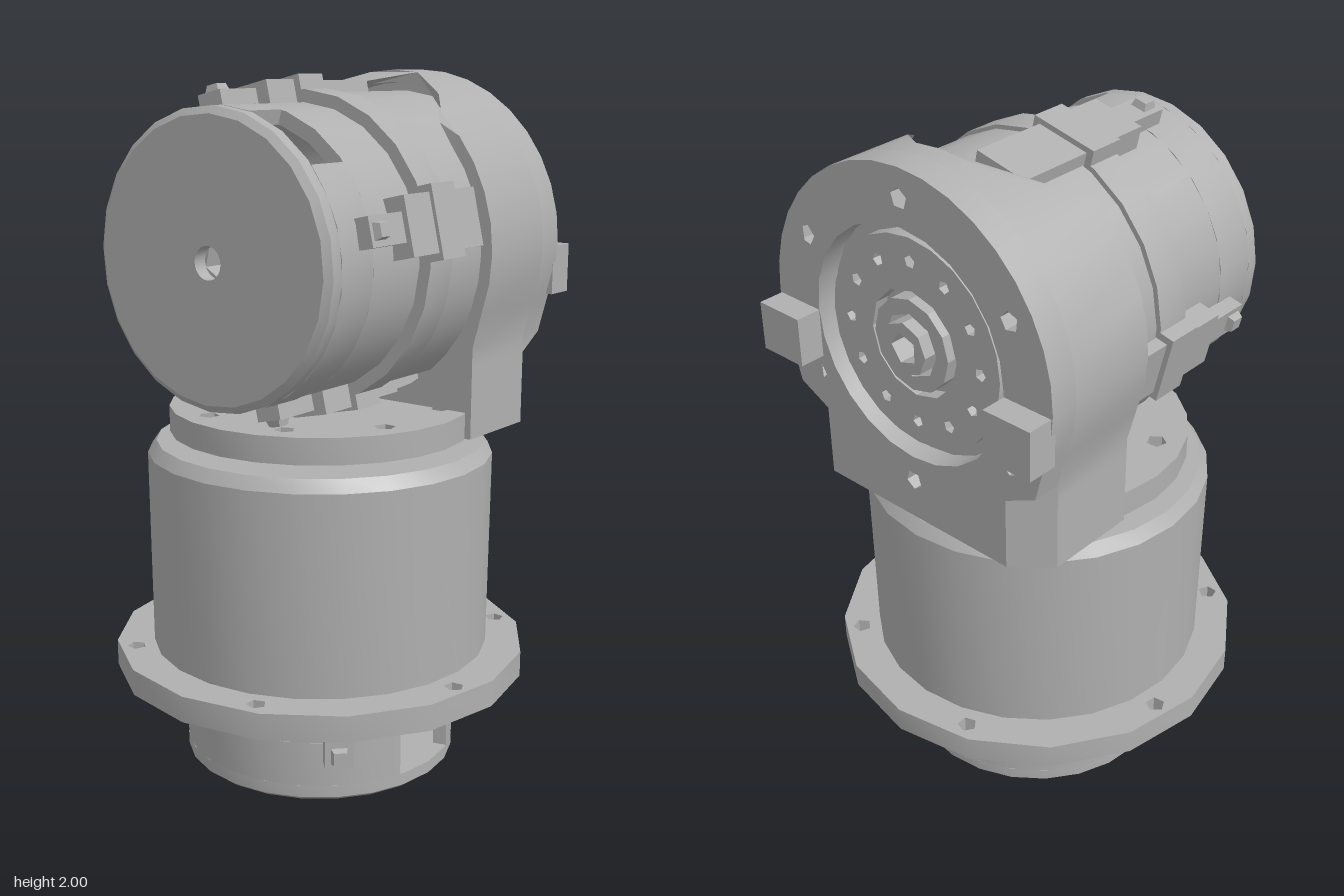
import * as THREE from 'three';
import { toCreasedNormals } from 'three/addons/utils/BufferGeometryUtils.js';

const AXIS_Y = 1.515; // height of the tilted motor's axis
const metal = new THREE.MeshStandardMaterial({ color: 0xb0b0b0 });
metal.name = 'grey metal';

function add(parent, name, geometry) {
  const mesh = new THREE.Mesh(toCreasedNormals(geometry, 0.5), metal);
  mesh.name = name;
  parent.add(mesh);
  return mesh;
}

// points along an arc
function arc(r, n, a0 = 0, a1 = Math.PI * 2, cx = 0, cy = 0) {
  return Array.from({ length: n + 1 }, (_, i) => {
    const a = a0 + (a1 - a0) * i / n;
    return new THREE.Vector2(cx + r * Math.cos(a), cy + r * Math.sin(a));
  });
}
const circle = (r, n, cx = 0, cy = 0, a0 = 0) => arc(r, n, a0, a0 + Math.PI * 2, cx, cy).slice(0, n);

// ring of bolt holes
function boltHoles(count, r, size, start = 0, cy = 0) {
  return Array.from({ length: count }, (_, i) => {
    const a = start + i * Math.PI * 2 / count;
    return circle(size, 5, r * Math.cos(a), cy + r * Math.sin(a), a);
  });
}

// flat plate between z0 and z1 with holes
function plate(outline, holes, z0, z1) {
  const shape = new THREE.Shape(outline);
  holes.forEach(h => shape.holes.push(new THREE.Path(h)));
  return new THREE.ExtrudeGeometry(shape, { depth: z1 - z0, bevelEnabled: false }).translate(0, 0, z0);
}

const lathe = (points, segments) =>
  new THREE.LatheGeometry(points.map(p => new THREE.Vector2(...p)), segments);

// motor with its end cap at z = 0 and its body running towards -z
function createMotor(name) {
  const motor = new THREE.Group();
  motor.name = name;
  const length = 0.88, half = 0.3;

  add(motor, 'endCap', lathe([[0.045, 0], [0.4, 0], [0.4, 0.035], [0.38, 0.05],
    [0.045, 0.05], [0.045, 0]], 24).translate(0, -0.05, 0).rotateX(Math.PI / 2));
  add(motor, 'casing', plate(circle(0.4, 24), [circle(0.36, 24)], -length, -0.18));
  add(motor, 'hollowShaft', plate(circle(0.06, 10), [circle(0.045, 5)], -length, -0.04));

  // casing walls between the two connector windows
  for (const a of [0, Math.PI]) {
    const wall = [...arc(0.4, 12, a + half, a + Math.PI - half),
      ...arc(0.36, 12, a + Math.PI - half, a + half)];
    add(motor, 'windowWall', plate(wall, [], -0.18, -0.05));
  }

  // raised sleeves
  add(motor, 'sleeve', plate(circle(0.435, 24), [circle(0.39, 24)], -0.49, -0.385));
  add(motor, 'rearSleeve', plate(circle(0.425, 24), [circle(0.39, 24)], -length, -0.495));

  // four clips: inner radius, outer radius, width, z range
  const blocks = [
    [0.37, 0.44, 0.08, -0.28, -0.125],
    [0.37, 0.455, 0.16, -0.385, -0.27],
    [0.37, 0.465, 0.2, -0.49, -0.385],
    [0.37, 0.45, 0.16, -0.72, -0.49],
  ];
  for (let i = 0; i < 4; i++) {
    const clip = new THREE.Group();
    clip.name = 'clip';
    clip.rotation.z = Math.PI / 4 + i * Math.PI / 2;
    for (const [r0, r1, w, z0, z1] of blocks) {
      add(clip, 'clipBlock', new THREE.BoxGeometry(r1 - r0, w, z1 - z0)
        .translate((r0 + r1) / 2, 0, (z0 + z1) / 2));
    }
    // raised hook at the clip's tip
    add(clip, 'clipHook', new THREE.CylinderGeometry(0.025, 0.045, 0.05, 4, 1, false, Math.PI / 4)
      .rotateZ(-Math.PI / 2).translate(0.435, 0, -0.16));
    motor.add(clip);
  }
  return motor;
}

function createBracket() {
  const bracket = new THREE.Group();
  bracket.name = 'bracket';
  const rad = Math.PI / 180;
  const outline = [
    ...arc(0.485, 22, -20 * rad, 200 * rad, 0, AXIS_Y),
    ...[[-0.43, 1.25], [-0.43, 1.2], [-0.43, 0.99], [0.43, 0.99], [0.43, 1.2], [0.43, 1.25]]
      .map(p => new THREE.Vector2(...p)),
  ];

  // hood around the motor, its front edge cut back at the top
  const hood = plate(outline, [circle(0.45, 36, 0, AXIS_Y)], -0.41, -0.135);
  const hp = hood.attributes.position;
  for (let i = 0; i < hp.count; i++) {
    if (hp.getZ(i) > -0.2 && hp.getY(i) > 1.7) {
      const t = THREE.MathUtils.clamp((0.31 - Math.abs(hp.getX(i))) / 0.16, 0, 1);
      hp.setZ(i, -0.135 - 0.215 * t);
    }
  }
  add(bracket, 'hood', hood);

  // back plate with chamfered lower corners
  const back = plate(outline,
    [circle(0.33, 24, 0, AXIS_Y), ...boltHoles(6, 0.405, 0.028, Math.PI / 2, AXIS_Y)], -0.495, -0.41);
  const bp = back.attributes.position;
  for (let i = 0; i < bp.count; i++) {
    if (bp.getZ(i) < -0.45 && bp.getY(i) < 1.21 && Math.abs(bp.getX(i)) > 0.4) {
      bp.setX(i, Math.sign(bp.getX(i)) * 0.33);
    }
  }
  add(bracket, 'backPlate', back);

  // recessed output disc and hub
  const hub = new THREE.Group();
  hub.name = 'outputHub';
  hub.position.y = AXIS_Y;
  add(hub, 'recessFloor', plate(circle(0.45, 24), [circle(0.05, 8)], -0.43, -0.4));
  add(hub, 'outputDisc', plate(circle(0.295, 24),
    [circle(0.15, 12), ...boltHoles(12, 0.23, 0.018)], -0.47, -0.42));
  add(hub, 'hubRing', plate(circle(0.13, 12), [circle(0.09, 8)], -0.48, -0.42));
  add(hub, 'hubCore', plate(circle(0.075, 8), [circle(0.045, 5)], -0.505, -0.38));
  bracket.add(hub);

  // mounting lugs on the back
  for (const side of [-1, 1]) {
    add(bracket, 'lug', new THREE.BoxGeometry(0.15, 0.14, 0.09).translate(side * 0.405, 1.435, -0.525));
  }
  return bracket;
}

export function createModel() {
  const model = new THREE.Group();
  model.name = 'panTiltActuator';
  const upright = g => g.rotateX(-Math.PI / 2);

  // lower motor, pointing down
  const panMotor = createMotor('lowerMotor');
  panMotor.rotation.x = Math.PI / 2;
  model.add(panMotor);

  // mounting flange
  add(model, 'flange', upright(plate(circle(0.605, 16, 0, 0, Math.PI / 2),
    boltHoles(6, 0.55, 0.028, -10 * Math.PI / 180), 0.28, 0.355)));

  // main housing with a chamfered top edge
  add(model, 'housing', lathe([[0, 0.34], [0.495, 0.34], [0.5, 0.93], [0.475, 0.965], [0, 0.965]], 24));

  // turntable
  add(model, 'neck', new THREE.CylinderGeometry(0.3, 0.3, 0.04, 20).translate(0, 0.98, 0));
  add(model, 'turntable', upright(plate(circle(0.435, 24),
    boltHoles(8, 0.355, 0.03, Math.PI / 8), 0.99, 1.065)));

  // tilted head
  model.add(createBracket());
  const tiltMotor = createMotor('upperMotor');
  tiltMotor.position.set(0, AXIS_Y, 0.472);
  tiltMotor.rotation.z = 58 * Math.PI / 180;
  model.add(tiltMotor);

  return model;
}
